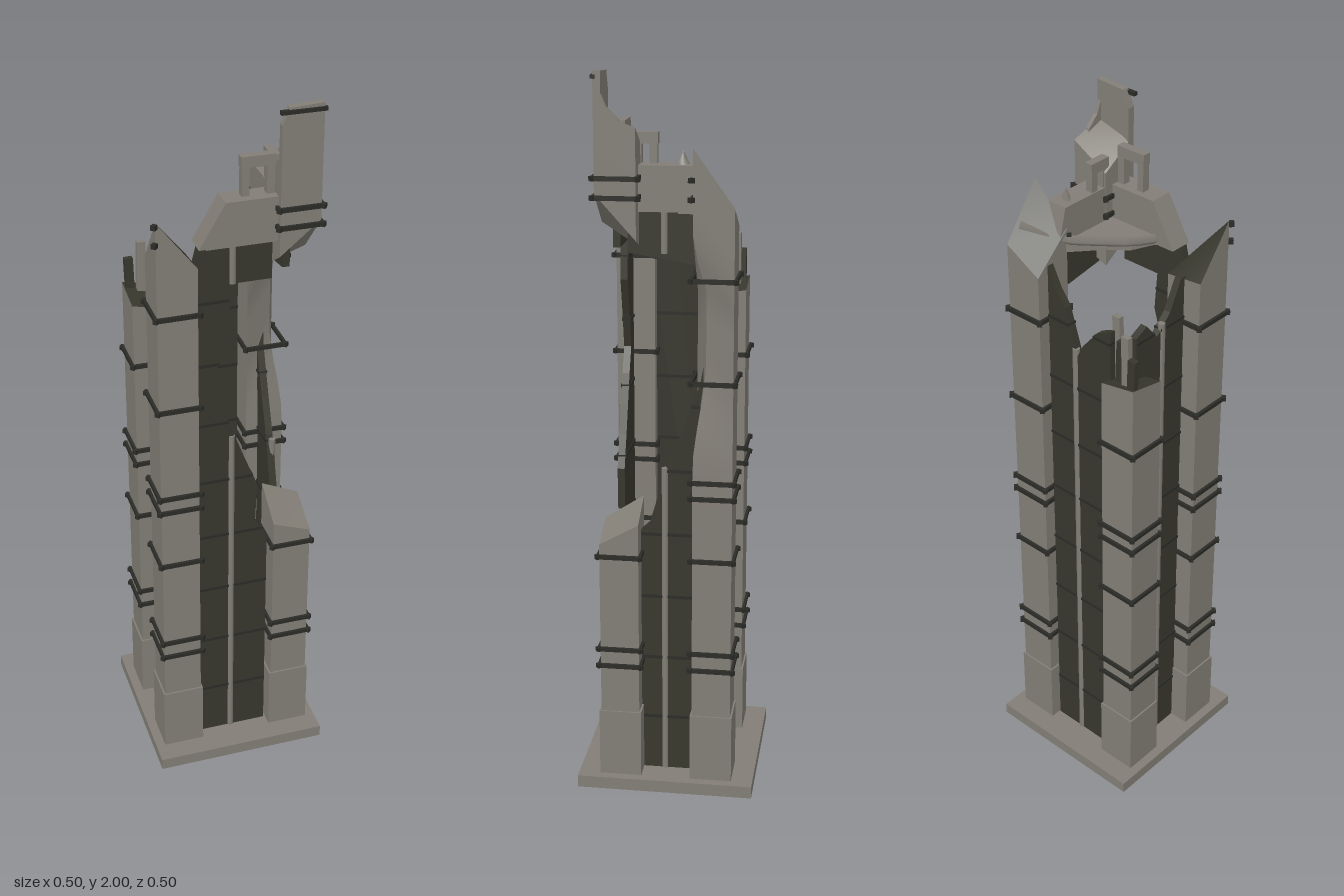
import * as THREE from 'three';

const material = (name, color) => Object.assign(new THREE.MeshStandardMaterial({ color }), { name });

export function createModel() {
  const stone = material('stone', 0x827e76);
  const panel = material('dark panel', 0x38372d);
  const trim = material('band trim', 0x2b2b27);
  const tower = new THREE.Group();
  tower.name = 'ruinedTower';

  const add = (parent, name, geo, mat, x = 0, y = 0, z = 0) => {
    const m = new THREE.Mesh(geo, mat);
    m.name = name;
    m.position.set(x, y, z);
    parent.add(m);
    return m;
  };
  const box = (parent, name, w, h, d, mat, x, y, z) =>
    add(parent, name, new THREE.BoxGeometry(w, h, d), mat, x, y, z);
  const group = (name, x = 0, y = 0, z = 0, turn = 0) => {
    const g = new THREE.Group();
    g.name = name;
    g.position.set(x, y, z);
    g.rotation.y = turn;
    tower.add(g);
    return g;
  };
  const plate = (points, depth) => new THREE.ExtrudeGeometry(
    new THREE.Shape(points.map(p => new THREE.Vector2(...p))), { depth, bevelEnabled: false });

  // Base slab
  box(tower, 'baseSlab', 0.495, 0.035, 0.495, stone, 0, 0.0175, 0);

  // Corner order everywhere: (-x,-z), (+x,-z), (+x,+z), (-x,+z)
  const corners = [[-1, -1], [1, -1], [1, 1], [-1, 1]];
  const cornerOf = (x, z) => (z < 0 ? (x < 0 ? 0 : 1) : (x > 0 ? 2 : 3));
  const bandHeights = [0.37, 0.42, 0.695, 0.875, 0.92, 1.195, 1.47, 1.68, 1.73, 1.985];
  const half = 0.054, ring = 0.058;

  // A square pier whose four corners start and stop at their own heights
  function pier(name, px, pz, low, high, cap, bite = () => 0) {
    const g = group(name, px, 0, pz);
    const geo = new THREE.BoxGeometry(2 * half, 1, 2 * half, 1, 24, 1);
    const p = geo.attributes.position;
    for (let i = 0; i < p.count; i++) {
      const x = p.getX(i), z = p.getZ(i), c = cornerOf(x, z);
      const y = THREE.MathUtils.lerp(low[c], high[c], p.getY(i) + 0.5);
      const b = c === 2 ? bite(y) : 0;
      p.setXYZ(i, x - b, y, z - b);
    }
    geo.computeVertexNormals();
    add(g, 'shaft', geo, [stone, stone, cap, stone, stone, stone]);
    // Bands survive only where the shaft still stands
    for (const y of bandHeights) {
      const whole = corners.map((_, i) => y <= high[i] + 0.01 && y >= low[i] - 0.01);
      corners.forEach(([sx, sz], i) => {
        if (!whole[i]) return;
        box(g, 'bandKnob', 0.013, 0.013, 0.013, trim, sx * ring, y, sz * ring).rotation.y = Math.PI / 4;
        const j = (i + 1) % 4;
        if (!whole[j]) return;
        const [tx, tz] = corners[j];
        const alongX = sz === tz;
        box(g, 'band', alongX ? 0.118 : 0.008, 0.012, alongX ? 0.008 : 0.118, trim,
          (sx + tx) / 2 * ring, y, (sz + tz) / 2 * ring);
      });
    }
    return g;
  }
  const X = 0.162, Z = 0.128, ground = [0.035, 0.035, 0.035, 0.035];
  const biteShape = y => 0.032 * THREE.MathUtils.smoothstep(y, 0.95, 1.25) * (1 - THREE.MathUtils.smoothstep(y, 1.45, 1.56));
  pier('frontRightPier', -X, Z, ground, [1.6, 1.59, 1.6, 1.74], panel);
  pier('backRightPier', -X, -Z, ground, [1.4, 1.38, 1.36, 1.38], panel);
  pier('backLeftPier', X, -Z, ground, [1.6, 1.66, 1.81, 1.7], panel, biteShape);
  pier('brokenFrontPier', X, Z, ground, [0.84, 0.79, 0.73, 0.77], stone);
  const spire = pier('hangingSpire', X, Z, [1.53, 1.57, 1.69, 1.6], [1.8, 1.86, 1.9, 1.87], stone);

  // Tall thin remnant on the outer face of the spire
  add(spire, 'spireFace', plate([[-0.054, 1.8], [0.054, 1.8], [0.054, 2], [-0.035, 1.995], [-0.054, 1.95]], 0.02),
    stone, 0, 0, 0.034);
  add(spire, 'spireFin', plate([[-0.054, 1.8], [0.04, 1.8], [0.01, 1.88], [-0.02, 1.91], [-0.054, 1.99]], 0.012),
    stone, 0.042, 0, 0).rotation.y = Math.PI / 2;
  box(spire, 'topBand', 0.12, 0.01, 0.012, trim, 0, 1.985, 0.054);

  // Thicker pier feet
  for (const [sx, sz] of corners) box(tower, 'pierFoot', 0.118, 0.195, 0.118, stone, sx * X, 0.1325, sz * Z);

  // A panelled wall from its broken outline, with seams and a central rib
  function wall(name, x, z, turn, outline, ribs) {
    const g = group(name, x, 0, z, turn);
    add(g, 'panels', plate(outline, 0.02), panel, 0, 0, -0.01);
    for (let k = 1; k < 9; k++) {
      const y = 0.012 + k * 0.184;
      const cuts = [];
      outline.forEach(([ax, ay], i) => {
        const [bx, by] = outline[(i + 1) % outline.length];
        if ((ay > y) !== (by > y)) cuts.push(ax + (bx - ax) * (y - ay) / (by - ay));
      });
      cuts.sort((a, b) => a - b);
      for (let c = 0; c + 1 < cuts.length; c += 2)
        box(g, 'seam', cuts[c + 1] - cuts[c], 0.008, 0.026, trim, (cuts[c] + cuts[c + 1]) / 2, y, 0);
    }
    for (const [y0, y1] of ribs)
      add(g, 'rib', new THREE.CylinderGeometry(0.01, 0.01, y1 - y0, 8), stone, -0.008, (y0 + y1) / 2, 0.006);
  }
  wall('frontWall', 0, 0.145, 0, [[-0.115, 0.035], [0.097, 0.035], [0.097, 0.72], [0.062, 0.78], [0.066, 0.9],
    [0.03, 0.99], [0, 1.07], [-0.03, 1.15], [-0.062, 1.22], [-0.04, 1.32], [-0.012, 1.42], [-0.02, 1.53],
    [0.097, 1.53], [0.097, 1.64], [-0.1, 1.64], [-0.115, 1.58]], [[0.035, 1.07], [1.53, 1.64]]);
  wall('leftWall', 0.153, 0, Math.PI / 2, [[-0.105, 0.035], [0.105, 0.035], [0.105, 1.64], [-0.105, 1.64],
    [-0.105, 1.53], [0.08, 1.5], [0.1, 1.44], [0.1, 1.25], [0.088, 1.18], [0.04, 1.05], [0, 0.95],
    [-0.05, 0.78], [-0.105, 0.73]], [[0.035, 0.94], [1.53, 1.64]]);
  wall('backWall', 0, -0.145, Math.PI, [[-0.1, 0.035], [0.115, 0.035], [0.115, 1.52], [0.07, 1.5], [0.02, 1.44],
    [0, 1.4], [-0.04, 1.53], [-0.07, 1.57], [-0.1, 1.63]], [[0.035, 1.42]]);
  wall('rightWall', -0.153, 0, -Math.PI / 2, [[-0.11, 0.035], [0.11, 0.035], [0.11, 1.61], [0.06, 1.6],
    [0.02, 1.52], [-0.03, 1.47], [-0.07, 1.52], [-0.11, 1.5]], [[0.035, 1.5]]);

  // Surviving L-shaped attic
  add(tower, 'frontAttic', plate([[-0.1, 1.64], [0.17, 1.64], [0.15, 1.76], [-0.03, 1.76]], 0.065), stone, 0, 0, 0.1);
  add(tower, 'sideAttic', plate([[-0.16, 1.64], [0.105, 1.64], [0.075, 1.76], [-0.14, 1.76]], 0.065),
    stone, 0.11, 0, 0).rotation.y = Math.PI / 2;

  // Broken roof slab, torn along the diagonal
  const roof = add(tower, 'roofSlab', plate([[-0.08, -0.16], [0.15, -0.16], [0.17, 0.13], [0.1, 0.07],
    [0.04, 0], [-0.01, -0.04], [-0.035, -0.1]], 0.03), stone, 0, 1.635, 0);
  roof.rotation.x = -Math.PI / 2;
  const tear = new THREE.CatmullRomCurve3([[-0.06, 1.65, 0.15], [-0.01, 1.66, 0.04], [0.1, 1.67, -0.07],
    [0.21, 1.7, -0.14]].map(p => new THREE.Vector3(...p)), false, 'catmullrom', 0.1);
  add(tower, 'tornRoofEdge', new THREE.TubeGeometry(tear, 12, 0.014, 4), stone);

  // Small parapet frames on the attic
  for (const [x, z, turn, w, top] of [[0.062, 0.13, 0, 0.09, 1.865], [0.125, 0.06, Math.PI / 2, 0.065, 1.84]]) {
    const g = group('parapetFrame', x, 0, z, turn);
    for (const s of [-1, 1]) box(g, 'post', 0.02, top - 1.76, 0.022, stone, s * (w / 2 - 0.012), (top + 1.76) / 2, 0);
    box(g, 'rail', w, 0.03, 0.024, stone, 0, top - 0.015, 0);
  }
  add(tower, 'atticShard', new THREE.ConeGeometry(0.018, 0.04, 4), stone, 0.14, 1.775, -0.04);

  // Rubble left standing in the collapsed back corner
  const shards = [[-0.2, 0.12, 0.03], [-0.17, 0.17, -0.02], [-0.14, 0.14, 0.04], [-0.12, 0.2, -0.03]];
  shards.forEach(([x, h, tilt], i) => {
    box(tower, 'shard', 0.024, h, 0.016, i % 2 ? stone : panel, x, 1.36 + h / 2, -0.165 + 0.012 * i).rotation.z = tilt;
  });
  return tower;
}
